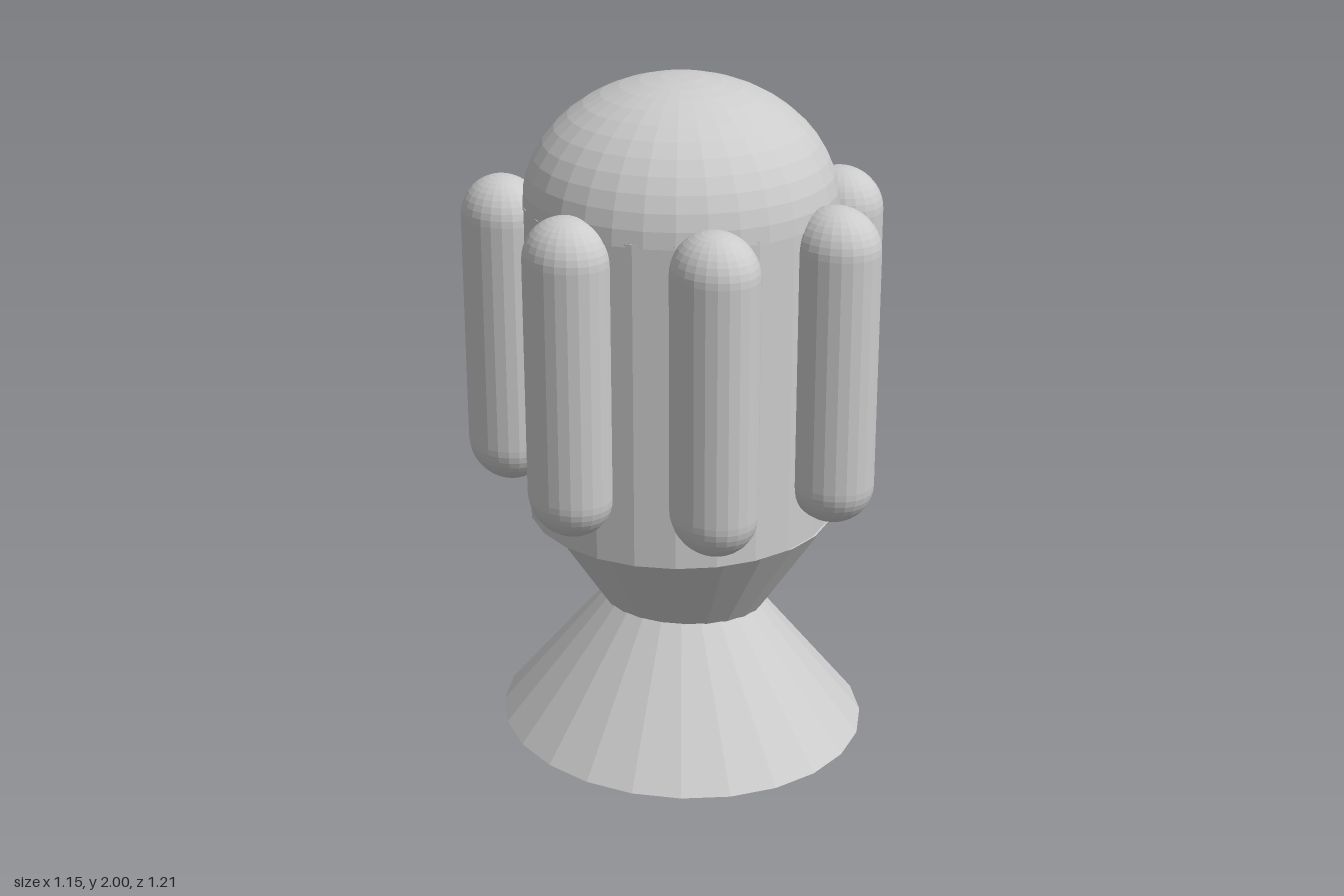
import * as THREE from 'three';

const SIDES = 24;
const material = new THREE.MeshStandardMaterial({ color: 0xcccccc, flatShading: true });

function part(name, geometry, x, y, z) {
  const mesh = new THREE.Mesh(geometry, material);
  mesh.name = name;
  mesh.position.set(x, y, z);
  return mesh;
}

// Upright capsule with an oval section and rounded ends, centred on its origin
function podGeometry(rx, rz, height, cap) {
  const points = [];
  const half = height / 2 - cap;
  const steps = 10;
  for (const end of [-1, 1]) {
    for (let i = 0; i <= steps; i++) {
      const t = (end < 0 ? i : steps - i) / steps * Math.PI / 2;
      points.push(new THREE.Vector2(Math.sin(t), end * (half + cap * Math.cos(t))));
    }
  }
  return new THREE.LatheGeometry(points, SIDES).scale(rx, 1, rz);
}

export function createModel() {
  const model = new THREE.Group();
  model.name = 'podTower';

  // Base cone, whose tip is buried in the funnel
  model.add(part('baseCone', new THREE.ConeGeometry(1, 0.68, SIDES).scale(0.54, 1, 0.573), 0, 0.34, 0));

  // Inverted cone meeting the base at a slightly slanted waist
  model.add(part('funnel', new THREE.CylinderGeometry(1, 0, 0.68, SIDES).scale(0.438, 1, 0.455), 0.03, 0.34, -0.015));

  // Main drum and its domed roof
  model.add(part('drum', new THREE.CylinderGeometry(0.455, 0.455, 0.96, SIDES), 0.013, 1.16, -0.018));
  const dome = new THREE.SphereGeometry(1, 32, 12, 0, Math.PI * 2, 0, Math.PI / 2).scale(0.457, 0.37, 0.457);
  model.add(part('dome', dome, 0.015, 1.63, -0.018));

  // Seven pods around the drum
  const pods = new THREE.Group();
  pods.name = 'pods';
  const pod = podGeometry(0.116, 0.134, 0.945, 0.125);
  const centres = [
    [-0.325, -0.41], [0.15, -0.475], [0.455, -0.205], [0.455, 0.2],
    [0.15, 0.47], [-0.255, 0.403], [-0.46, 0.03],
  ];
  centres.forEach(([x, z], i) => pods.add(part(`pod${i + 1}`, pod, x, 1.223, z)));
  model.add(pods);

  return model;
}
